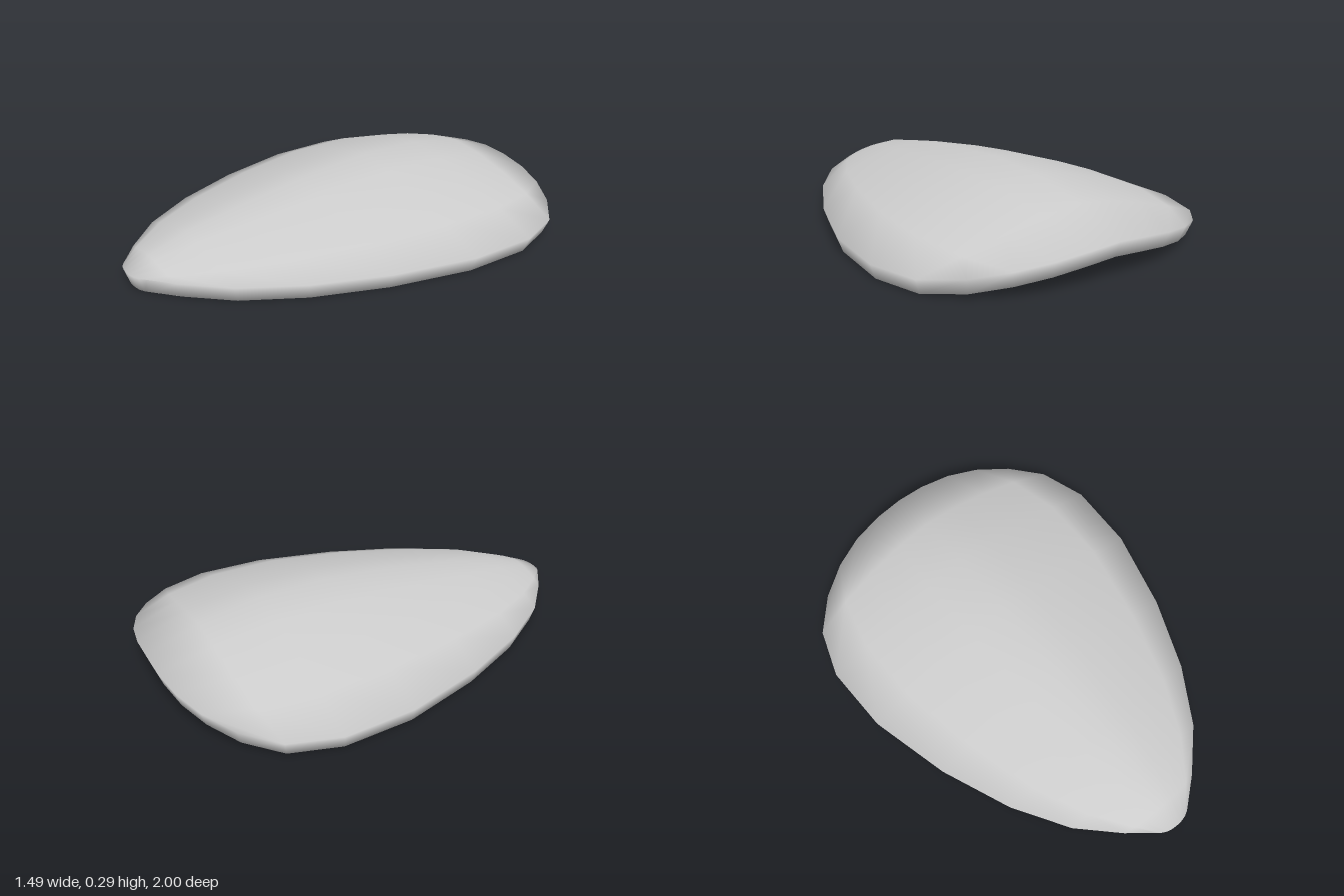
import * as THREE from 'three';

// Rows from front to back: [half width, side z, side y, crest z, crest y]
const ROWS = [
  [0.1, 0.96, 0.065, 1, 0.066],
  [0.2, 0.88, 0.065, 0.9, 0.11],
  [0.36, 0.72, 0.065, 0.73, 0.165],
  [0.51, 0.48, 0.065, 0.5, 0.208],
  [0.64, 0.17, 0.065, 0.17, 0.26],
  [0.735, -0.19, 0.065, -0.19, 0.293],
  [0.745, -0.5, 0.065, -0.5, 0.286],
  [0.675, -0.71, 0.067, -0.77, 0.24],
  [0.55, -0.84, 0.085, -1, 0.16],
];
const COLS = [-1, -0.75, -0.5, -0.24, 0, 0.24, 0.5, 0.75, 1];
const ARCH_POWER = 1.45;
const RIM_HEIGHT = 0.065;

function shellGeometry() {
  const rows = ROWS.length, cols = COLS.length;
  const points = [], normals = [], index = [];
  const addPoint = (x, y, z) => {
    points.push(new THREE.Vector3(x, y, z));
    normals.push(new THREE.Vector3());
  };
  // Each quad counts equally in its corners' normals, so the thin rim shades roundly
  const quad = (a, b, c, d) => {
    index.push(a, b, c, a, c, d);
    const n = points[c].clone().sub(points[a]).cross(points[d].clone().sub(points[b])).normalize();
    for (const v of [a, b, c, d]) normals[v].add(n);
  };
  const onEdge = (i, j) => i === 0 || j === 0 || i === rows - 1 || j === cols - 1;

  // Domed skin of arched rows; the underside is inset and drops to the lip at its edge
  const skin = (under) => {
    const start = points.length;
    ROWS.forEach(([w, sideZ, sideY, crestZ, crestY], i) => {
      COLS.forEach((u, j) => {
        const x = u * w;
        const y = sideY + (crestY - sideY) * (1 - Math.abs(u) ** ARCH_POWER);
        const z = sideZ + (crestZ - sideZ) * (1 - Math.abs(u) ** 2.6);
        const drop = onEdge(i, j) ? RIM_HEIGHT : 0.029 + 0.012 * u * u;
        if (under) addPoint(x * 0.967, y - drop, z * 0.978);
        else addPoint(x, y, z);
      });
    });
    for (let i = 0; i < rows - 1; i++)
      for (let j = 0; j < cols - 1; j++) {
        const a = start + i * cols + j, d = a + cols;
        if (under) quad(a, d, d + 1, a + 1);
        else quad(a, a + 1, d + 1, d);
      }
    return start;
  };
  const top = skin(false);
  const bottom = skin(true);

  // Boundary of a skin, anticlockwise seen from above
  const edge = [];
  for (let j = 0; j < cols - 1; j++) edge.push(j);
  for (let i = 0; i < rows - 1; i++) edge.push(i * cols + cols - 1);
  for (let j = cols - 1; j > 0; j--) edge.push((rows - 1) * cols + j);
  for (let i = rows - 1; i > 0; i--) edge.push(i * cols);

  // Rim wall joining the two skins
  edge.forEach((e, k) => {
    const n = edge[(k + 1) % edge.length];
    quad(bottom + e, bottom + n, top + n, top + e);
  });

  const geo = new THREE.BufferGeometry().setFromPoints(points);
  const flat = normals.flatMap((n) => n.normalize().toArray());
  geo.setAttribute('normal', new THREE.Float32BufferAttribute(flat, 3));
  geo.setIndex(index);
  return geo;
}

export function createModel() {
  const group = new THREE.Group();
  group.name = 'domedShell';
  const shell = new THREE.Mesh(shellGeometry(), new THREE.MeshStandardMaterial({ color: 0xcccccc }));
  shell.name = 'shell';
  group.add(shell);
  return group;
}
